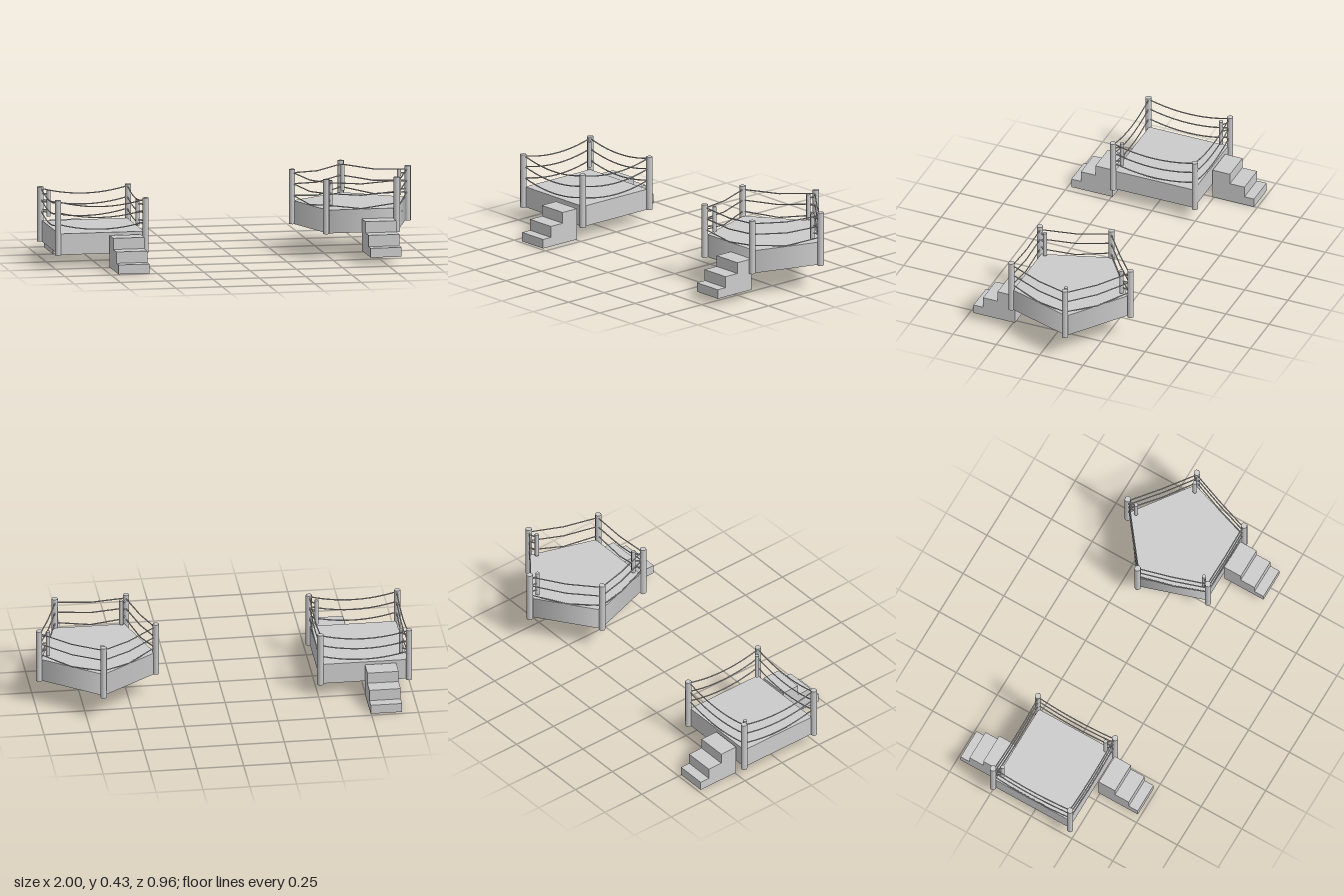
import * as THREE from 'three';

const grey = new THREE.MeshStandardMaterial({ color: 0xcccccc });

function part(parent, name, geometry, x = 0, y = 0, z = 0) {
  const mesh = new THREE.Mesh(geometry, grey);
  mesh.name = name;
  mesh.position.set(x, y, z);
  parent.add(mesh);
  return mesh;
}

// Three solid steps, rising from the far end towards z = 0
function stairs(parent, name, x, y, z, backwards) {
  const w = 0.167;
  const profile = [
    [0, 0], [0.239, 0], [0.239, 0.05], [0.184, 0.05],
    [0.184, 0.111], [0.1, 0.111], [0.1, 0.171], [0, 0.171],
  ].map(([a, b]) => new THREE.Vector2(a, b));
  const geo = new THREE.ExtrudeGeometry(new THREE.Shape(profile), { depth: w, bevelEnabled: false });
  geo.translate(0, 0, -w / 2).rotateY(-Math.PI / 2); // run points to +z
  const mesh = part(parent, name, geo, x, y, z);
  if (backwards) mesh.rotation.y = Math.PI;
}

// Straight round bar between two points
function bar(parent, name, a, b, r) {
  part(parent, name, new THREE.TubeGeometry(new THREE.LineCurve3(a, b), 1, r, 6));
}

// Rope sagging between two points
function rope(parent, a, b, sag, segments) {
  const mid = a.clone().lerp(b, 0.5);
  mid.y -= sag * 2;
  const curve = new THREE.QuadraticBezierCurve3(a, mid, b);
  const path = new THREE.CurvePath();
  const pts = curve.getPoints(segments);
  for (let i = 0; i < segments; i++) path.add(new THREE.LineCurve3(pts[i], pts[i + 1]));
  part(parent, 'rope', new THREE.TubeGeometry(path, segments, 0.0033, 6));
}

// Posts, ropes and corner pads around a ring
function fence(parent, { corners, centre, base, height, levels, sags, segments, padded }) {
  const inward = ([x, z], d) => {
    const v = new THREE.Vector2(centre[0] - x, centre[1] - z).setLength(d);
    return [x + v.x, z + v.y];
  };
  corners.forEach((c, i) => {
    part(parent, 'post', new THREE.CylinderGeometry(0.017, 0.017, height, 8), c[0], base + height / 2, c[1]);
    const p = inward(c, 0.006);
    const q = inward(corners[(i + 1) % corners.length], 0.006);
    levels.forEach((y, k) => rope(parent,
      new THREE.Vector3(p[0], y, p[1]), new THREE.Vector3(q[0], y, q[1]), sags[k], segments));
    if (!padded.includes(i)) return;
    // Upright pad held off the post by three short bars
    const d = inward(c, 0.052);
    const top = base + height - 0.014;
    part(parent, 'cornerPad', new THREE.CylinderGeometry(0.011, 0.011, 0.14, 8), d[0], top - 0.07, d[1]);
    for (const drop of [0.022, 0.065, 0.108]) {
      bar(parent, 'padBar', new THREE.Vector3(c[0], top - drop, c[1]),
        new THREE.Vector3(d[0], top - drop, d[1]), 0.004);
    }
  });
}

export function createModel() {
  const model = new THREE.Group();

  // Square ring with steps at front and back
  const square = new THREE.Group();
  square.name = 'squareRing';
  model.add(square);
  part(square, 'platform', new THREE.BoxGeometry(0.46, 0.113, 0.456), -0.746, 0.1275, -0.007);
  fence(square, {
    corners: [[-0.983, -0.243], [-0.51, -0.243], [-0.51, 0.229], [-0.983, 0.229]],
    centre: [-0.746, -0.007],
    base: 0.072, height: 0.293,
    levels: [0.356, 0.298, 0.235], sags: [0.032, 0.032, 0.032],
    segments: 10, padded: [0, 2],
  });
  stairs(square, 'frontStairs', -0.623, 0, 0.243, false);
  stairs(square, 'backStairs', -0.831, 0, -0.243, true);

  // Five-sided ring with steps at the front
  const penta = new THREE.Group();
  penta.name = 'pentagonRing';
  model.add(penta);
  const deck = part(penta, 'platform', new THREE.CylinderGeometry(0.3195, 0.3195, 0.125, 5), 0.664, 0.2025, -0.0415);
  deck.rotation.y = Math.PI;
  fence(penta, {
    corners: [[0.666, -0.379], [0.979, -0.137], [0.847, 0.229], [0.466, 0.229], [0.355, -0.137]],
    centre: [0.664, -0.0415],
    base: 0.14, height: 0.293,
    levels: [0.414, 0.355, 0.293], sags: [0.013, 0.015, 0.024],
    segments: 2, padded: [0, 1, 3],
  });
  stairs(penta, 'frontStairs', 0.744, 0.042, 0.217, false);

  return model;
}
